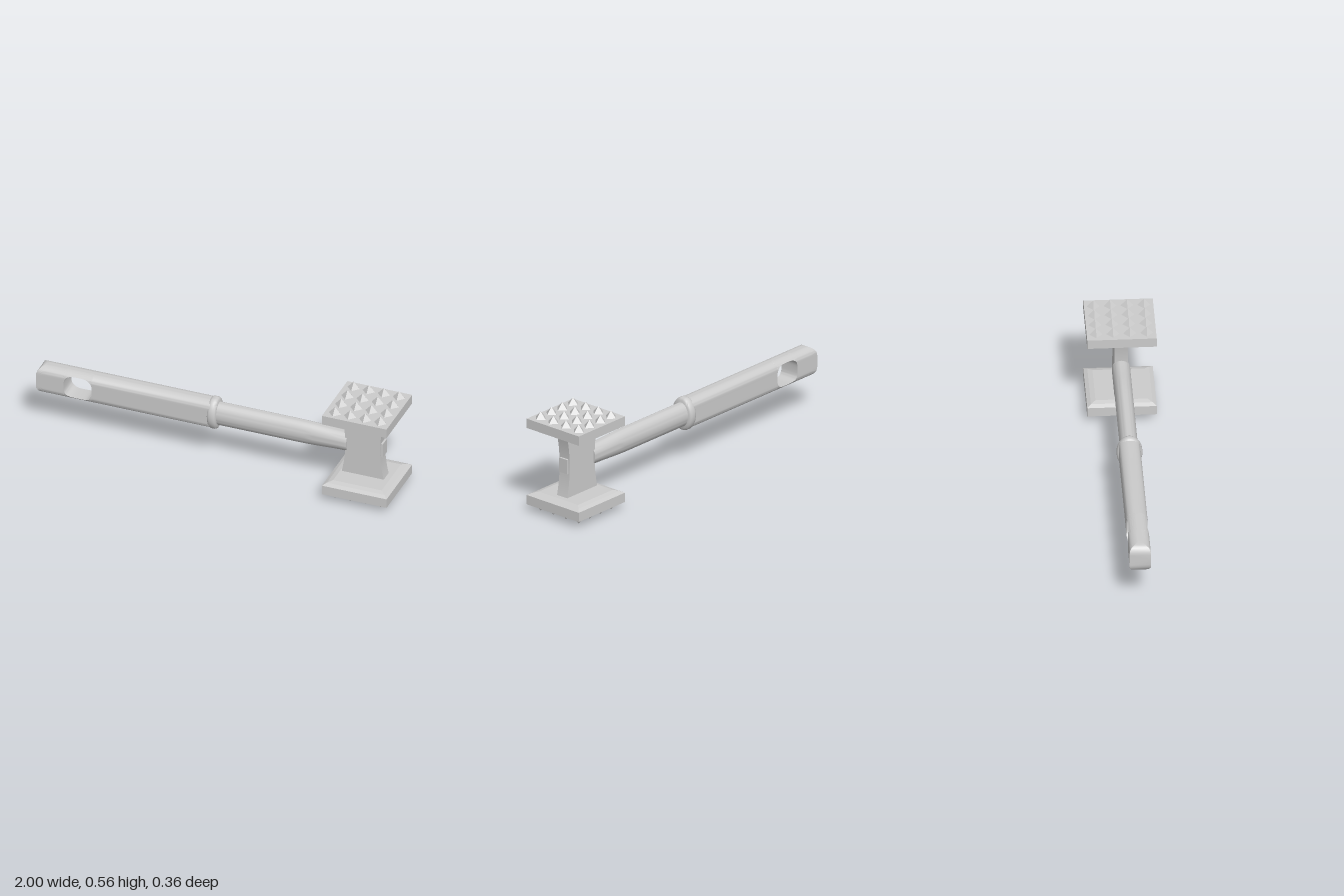
import * as THREE from 'three';
import { toCreasedNormals } from 'three/addons/utils/BufferGeometryUtils.js';

const smooth = new THREE.MeshStandardMaterial({ color: 0xcccccc });
const faceted = new THREE.MeshStandardMaterial({ color: 0xcccccc, flatShading: true });

function add(parent, name, geometry, material = smooth) {
  const mesh = new THREE.Mesh(geometry, material);
  mesh.name = name;
  parent.add(mesh);
  return mesh;
}

// Half width of the grip at height y: flat sides, rounded top and bottom
function gripWidth(y) {
  const t = Math.max(0, (y - 0.045) / 0.038);
  return 0.055 * Math.sqrt(Math.max(0, 1 - t * t));
}

// Grip lofted along x as an upper and a lower half that part around the hanging hole
function gripGeometry() {
  const stations = []; // [x, inner height, outer height]
  for (let i = 0; i <= 6; i++) {
    const a = (i / 6) * Math.PI / 2;
    stations.push([-0.95 - 0.05 * Math.cos(a), 0, 0.03 + 0.053 * Math.sin(a)]);
  }
  for (let i = 0; i <= 24; i++) {
    const a = (i / 24) * Math.PI, c = -Math.cos(a);
    const x = -0.768 + 0.078 * Math.sign(c) * Math.abs(c) ** 0.6;
    const inner = i % 24 === 0 ? 0 : 0.063 * Math.sin(a) ** 0.6;
    stations.push([x, inner, 0.083]);
  }
  stations.push([-0.03, 0, 0.083]);

  const N = 14, positions = [];
  const section = ([x, inner, outer], s) => {
    const ring = [];
    for (let i = 0; i <= N; i++) {
      const y = inner + (outer - inner) * Math.sin((i / N) * Math.PI / 2);
      ring.push([x, s * y, gripWidth(y)]);
    }
    return ring.concat(ring.map(([px, y, z]) => [px, y, -z]).reverse());
  };
  for (const s of [1, -1]) {
    const tri = (a, b, c) => positions.push(...a, ...(s > 0 ? b : c), ...(s > 0 ? c : b));
    const rings = stations.map((st) => section(st, s));
    for (let k = 0; k + 1 < rings.length; k++) {
      const A = rings[k], B = rings[k + 1], n = A.length;
      const inHole = stations[k][1] + stations[k + 1][1] > 0;
      for (let i = 0; i < (inHole ? n : n - 1); i++) {
        const j = (i + 1) % n;
        tri(A[i], B[i], B[j]);
        tri(A[i], B[j], A[j]);
      }
    }
    const first = rings[0], last = rings[rings.length - 1];
    for (let i = 1; i + 1 < first.length; i++) {
      tri(first[0], first[i], first[i + 1]);
      tri(last[0], last[i + 1], last[i]);
    }
  }
  const geometry = new THREE.BufferGeometry();
  geometry.setAttribute('position', new THREE.Float32BufferAttribute(positions, 3));
  return toCreasedNormals(geometry, 0.6);
}

// Oval shaft from the collar to the head, thinning in height near the head
function shaftGeometry() {
  const x0 = -0.03, x1 = 0.722;
  const geometry = new THREE.CylinderGeometry(1, 1, x1 - x0, 40, 16);
  geometry.rotateZ(-Math.PI / 2).translate((x0 + x1) / 2, 0, 0);
  const p = geometry.attributes.position;
  for (let i = 0; i < p.count; i++) {
    const t = THREE.MathUtils.smoothstep(p.getX(i), 0.45, 0.7);
    p.setY(i, p.getY(i) * (0.066 - 0.01 * t));
    p.setZ(i, p.getZ(i) * 0.047);
  }
  return toCreasedNormals(geometry, 0.6);
}

// Oval collar with a rounded rim
function collarGeometry() {
  const profile = [[0, -0.024], [0.84, -0.024], [0.95, -0.019], [1, -0.009],
    [1, 0.009], [0.95, 0.019], [0.84, 0.024], [0, 0.024]];
  const geometry = new THREE.LatheGeometry(profile.map(([r, y]) => new THREE.Vector2(r, y)), 48);
  geometry.rotateZ(-Math.PI / 2).scale(1, 0.092, 0.067).translate(-0.025, 0, 0);
  return toCreasedNormals(geometry, 0.7);
}

// Waisted block between the two striking plates
function neckGeometry() {
  const shape = new THREE.Shape();
  shape.moveTo(0.692, -0.175);
  shape.lineTo(0.928, -0.175);
  shape.bezierCurveTo(0.9, -0.06, 0.9, 0.06, 0.928, 0.175);
  shape.lineTo(0.692, 0.175);
  shape.bezierCurveTo(0.72, 0.06, 0.72, -0.06, 0.692, -0.175);
  const geometry = new THREE.ExtrudeGeometry(shape, { depth: 0.07, bevelEnabled: false, curveSegments: 20 });
  geometry.translate(0, 0, -0.035);
  return toCreasedNormals(geometry, 0.6);
}

// Square plate with a bevelled inner side, studded with a grid of pyramids
function strikingPlate() {
  const group = new THREE.Group();
  const profile = [[0, 0.24], [0.18, 0.24], [0.18, 0.188], [0.16, 0.177], [0.135, 0.17], [0, 0.17]];
  const points = profile.reverse().map(([r, y]) => new THREE.Vector2(r * Math.SQRT2, y));
  const plate = new THREE.LatheGeometry(points, 4, Math.PI / 4);
  add(group, 'plate', plate.translate(0.82, 0, 0), faceted);

  const spike = new THREE.ConeGeometry(0.034, 0.038, 4, 1, true);
  for (let i = 0; i < 4; i++) {
    for (let j = 0; j < 4; j++) {
      add(group, 'spike', spike, faceted)
        .position.set(0.82 + (i - 1.5) * 0.084, 0.259, (j - 1.5) * 0.0875);
    }
  }
  return group;
}

export function createModel() {
  const model = new THREE.Group();
  model.name = 'meatMallet';
  const body = new THREE.Group();
  body.name = 'mallet';
  body.position.y = 0.28;
  model.add(body);

  add(body, 'grip', gripGeometry());
  add(body, 'collar', collarGeometry());
  add(body, 'shaft', shaftGeometry());
  add(body, 'neck', neckGeometry());

  // Square end of the shaft showing through the head
  add(body, 'tenon', new THREE.BoxGeometry(0.06, 0.08, 0.056)).position.x = 0.889;

  const upper = strikingPlate();
  upper.name = 'upperPlate';
  const lower = strikingPlate();
  lower.name = 'lowerPlate';
  lower.rotation.x = Math.PI;
  body.add(upper, lower);
  return model;
}
